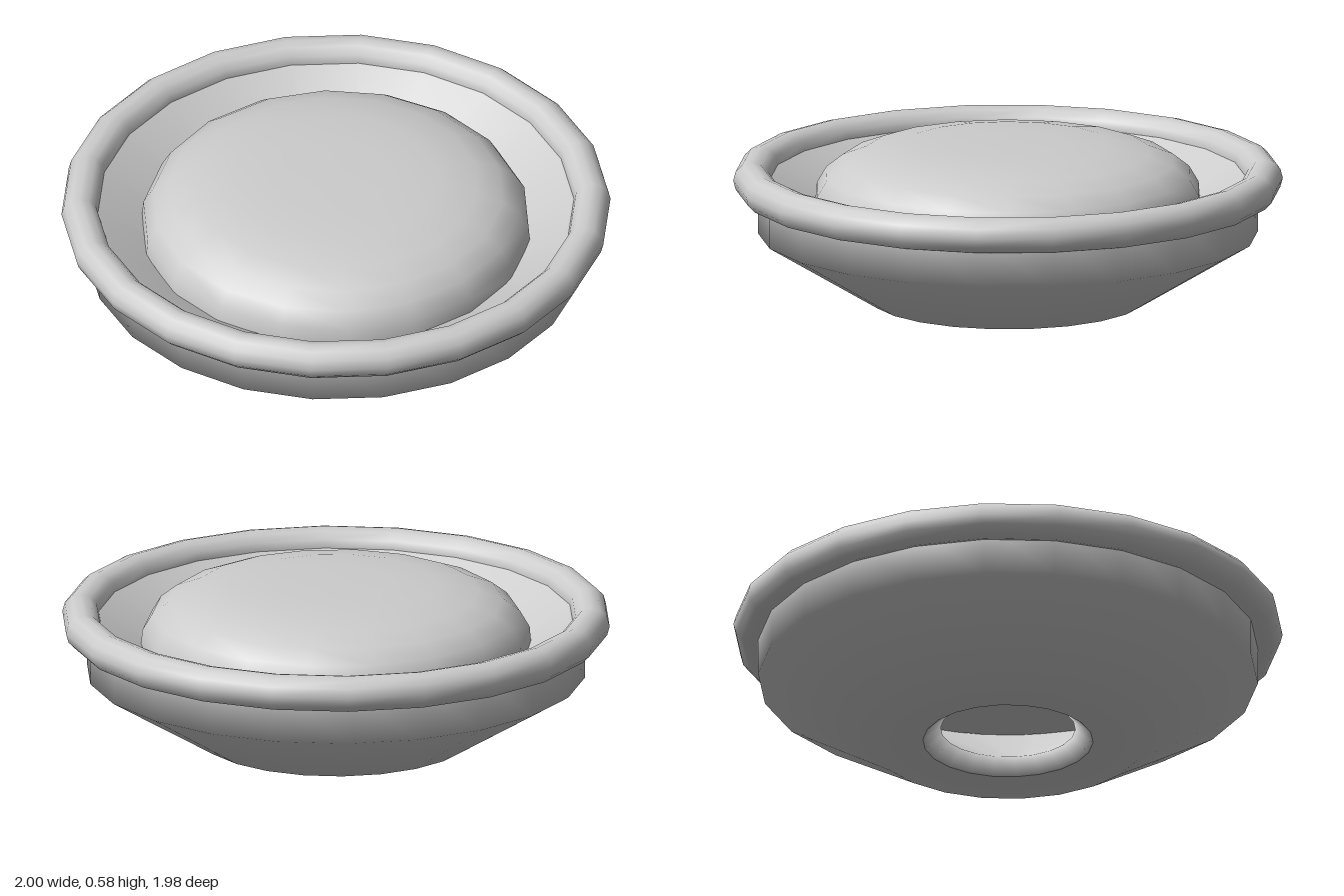
import * as THREE from 'three';

export function createModel() {
  const model = new THREE.Group();
  const gray = new THREE.MeshStandardMaterial({ color: 0xcccccc });
  gray.name = 'lightGray';

  const add = (name, geometry) => {
    const mesh = new THREE.Mesh(geometry, gray);
    mesh.name = name;
    model.add(mesh);
    return mesh;
  };
  // Turned surface from [radius, height] pairs, with a corner on the x axis
  const turn = (profile, sides) => new THREE.LatheGeometry(
    profile.map(([r, y]) => new THREE.Vector2(r, y)), sides, Math.PI / 2);

  // Hollow dish: base, flared outside, lip, sloping inside and chamfered base hole
  add('dish', turn([
    [0.31, 0], [0.5, 0], [0.91, 0.25], [0.91, 0.45], [0.86, 0.45], [0.245, 0.05], [0.31, 0],
  ], 22));

  // Rounded rim
  const rim = add('rim', new THREE.TorusGeometry(0.933, 0.067, 12, 22));
  rim.rotation.x = -Math.PI / 2;
  rim.position.y = 0.447;

  // Domed cushion resting on the slope of the dish
  add('cushion', turn([
    [0.71, 0.35], [0.705, 0.41], [0.67, 0.47], [0.61, 0.517], [0.52, 0.552],
    [0.38, 0.576], [0.2, 0.583], [0, 0.584],
  ], 18));

  // Flat underside of the cushion, seen through the base hole
  const underside = add('cushionUnderside', new THREE.CircleGeometry(0.71, 18));
  underside.rotation.x = Math.PI / 2;
  underside.position.y = 0.35;

  return model;
}
